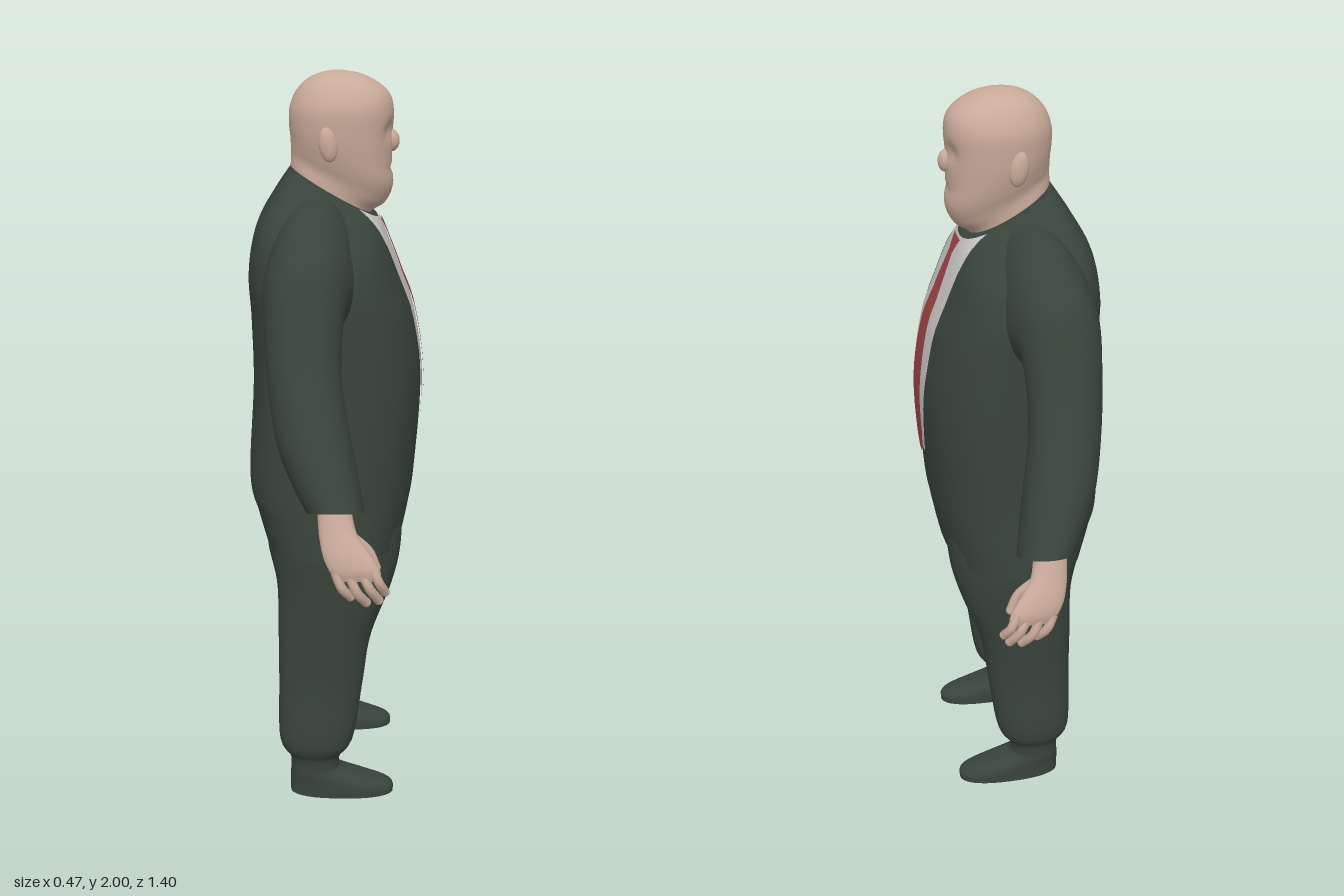
import * as THREE from 'three';

const mat = (name, color) => {
  const m = new THREE.MeshStandardMaterial({ color });
  m.name = name;
  return m;
};

// Smooth interpolation through a list of cross-sections, t in 0..1
function sectionAt(rows, t) {
  const n = rows.length - 1, f = Math.min(Math.max(t, 0), 1) * n;
  const i = Math.min(Math.floor(f), n - 1), u = f - i;
  const a = rows[Math.max(i - 1, 0)], b = rows[i], c = rows[i + 1], d = rows[Math.min(i + 2, n)];
  return b.map((_, k) => {
    const m0 = (c[k] - a[k]) / 2, m1 = (d[k] - b[k]) / 2, u2 = u * u, u3 = u2 * u;
    return b[k] * (2 * u3 - 3 * u2 + 1) + m0 * (u3 - 2 * u2 + u) + c[k] * (3 * u2 - 2 * u3) + m1 * (u3 - u2);
  });
}

const spow = (v, e) => Math.sign(v) * Math.abs(v) ** (2 / e);

// Body section: [yBack, yFront, xBack, xFront, zInner, zOuter]
function bodyPoint(r, ang, eFront, eBack) {
  const [yb, yf, xb, xf, zi, zo] = r;
  const c = Math.cos(ang), e = c >= 0 ? eFront : eBack;
  const k = spow(c, e);
  return new THREE.Vector3((xb + xf) / 2 + k * (xf - xb) / 2, (yb + yf) / 2 + k * (yf - yb) / 2,
    (zi + zo) / 2 + spow(Math.sin(ang), e) * (zo - zi) / 2);
}

// Limb section: [zOuter, yOuter, zInner, yInner, xBack, xFront]
function limbPoint(r, ang) {
  const [zo, yo, zi, yi, xb, xf] = r, c = Math.cos(ang), s = Math.sin(ang);
  return new THREE.Vector3((xb + xf) / 2 + c * (xf - xb) / 2, (yo + yi) / 2 + s * (yo - yi) / 2,
    (zo + zi) / 2 + s * (zo - zi) / 2);
}

// Closed loft with end caps; side = -1 mirrors it across z
function loft(rows, point, { steps = 36, seg = 40, side = 1, warp = null } = {}) {
  const pos = [], idx = [];
  const put = (p) => pos.push(p.x, p.y, p.z * side) / 3 - 1;
  const ring = (t) => Array.from({ length: seg }, (_, j) => {
    const p = point(sectionAt(rows, t), (j / seg) * Math.PI * 2);
    if (warp) warp(p);
    return p;
  });
  for (let i = 0; i <= steps; i++) ring(i / steps).forEach(put);
  for (let i = 0; i < steps; i++) for (let j = 0; j < seg; j++) {
    const a = i * seg + j, b = i * seg + (j + 1) % seg;
    idx.push(a, a + seg, b, b, a + seg, b + seg);
  }
  for (const t of [0, 1]) {
    const pts = ring(t), mid = new THREE.Vector3();
    pts.forEach((p) => mid.addScaledVector(p, 1 / seg));
    const c = put(mid), ids = pts.map(put);
    for (let j = 0; j < seg; j++) {
      const a = ids[j], b = ids[(j + 1) % seg];
      idx.push(...(t ? [c, b, a] : [c, a, b]));
    }
  }
  // Turn all faces outwards
  let vol = 0;
  const v = (i) => new THREE.Vector3().fromArray(pos, i * 3);
  for (let i = 0; i < idx.length; i += 3) vol += v(idx[i]).dot(v(idx[i + 1]).cross(v(idx[i + 2])));
  if (vol < 0) idx.reverse();
  return finish(pos, idx);
}

function finish(pos, idx) {
  const g = new THREE.BufferGeometry();
  g.setAttribute('position', new THREE.Float32BufferAttribute(pos, 3));
  g.setIndex(idx);
  g.computeVertexNormals();
  return g;
}

const w = (yb, yf, xb, xf, hz) => [yb, yf, xb, xf, -hz, hz];
const TORSO = [
  w(0.77, 0.77, -0.19, 0.185, 0.325), w(0.86, 0.86, -0.215, 0.203, 0.322), w(0.95, 0.95, -0.234, 0.216, 0.318),
  w(1.2, 1.2, -0.22, 0.23, 0.312), w(1.38, 1.38, -0.222, 0.206, 0.312), w(1.5, 1.48, -0.227, 0.17, 0.312),
  w(1.61, 1.55, -0.208, 0.143, 0.28), w(1.69, 1.595, -0.165, 0.125, 0.2), w(1.76, 1.63, -0.118, 0.11, 0.11),
];
const torsoPoint = (r, a) => bodyPoint(r, a, 2.5, 3.2);

// Thin cloth panel following the chest; rows are [y, zMin, zMax] from the bottom up
function chestPanel(rows, offset) {
  const pos = [], idx = [], cols = 14, sub = 8, n = (rows.length - 1) * sub;
  const surface = (t, z) => {
    const r = sectionAt(TORSO, t);
    const s = Math.min(Math.abs(z) / r[5], 1) ** 1.25;
    return torsoPoint(r, Math.sign(z) * Math.asin(s));
  };
  for (let i = 0; i <= n; i++) {
    const k = Math.min(Math.floor(i / sub), rows.length - 2), u = i / sub - k;
    const [y, z0, z1] = rows[k].map((a, m) => a + (rows[k + 1][m] - a) * u);
    for (let j = 0; j <= cols; j++) {
      const z = z0 + (z1 - z0) * j / cols;
      let lo = 0, hi = 1;
      for (let q = 0; q < 24; q++) {
        const m = (lo + hi) / 2;
        if (surface(m, z).y < y) lo = m; else hi = m;
      }
      const p = surface(lo, z);
      pos.push(p.x + offset, p.y + offset * 0.3, p.z);
      if (i < n && j < cols) {
        const a = i * (cols + 1) + j, b = a + cols + 1;
        idx.push(a, b, a + 1, a + 1, b, b + 1);
      }
    }
  }
  return finish(pos, idx);
}

export function createModel() {
  const suit = mat('dark green suit', 0x38443b), skin = mat('skin', 0xc9aa9a);
  const white = mat('white shirt', 0xc8c5c1), red = mat('red tie', 0xa04346);
  const model = new THREE.Group();
  model.name = 'suitedMan';
  const add = (name, geo, m, parent = model) => {
    const mesh = new THREE.Mesh(geo, m);
    mesh.name = name;
    parent.add(mesh);
    return mesh;
  };

  // Jacket, shirt front and tie
  add('jacket', loft(TORSO, torsoPoint, { steps: 64, seg: 80 }), suit);
  add('shirtFront', chestPanel([[1.04, -0.06, 0], [1.11, -0.075, 0.085], [1.3, -0.1, 0.104],
    [1.6, -0.106, 0.106], [1.76, -0.092, 0.092]], 0.004), white);
  add('tie', chestPanel([[1.02, -0.015, 0.015], [1.05, -0.05, 0.05], [1.1, -0.064, 0.064], [1.3, -0.055, 0.055],
    [1.5, -0.034, 0.034], [1.585, -0.02, 0.02], [1.625, -0.038, 0.038]], 0.008), red);

  // Head and neck, with shallow eye sockets pressed in
  const sockets = (p) => {
    if (p.x < 0.05) return;
    const d = ((p.y - 1.852) / 0.022) ** 2 + ((Math.abs(p.z) - 0.042) / 0.026) ** 2;
    p.x -= 0.013 * Math.exp(-d);
    p.x -= 0.006 * Math.exp(-(((p.y - 1.755) / 0.01) ** 2) - (p.z / 0.04) ** 2);
  };
  add('head', loft([
    w(1.7, 1.57, -0.12, 0.085, 0.092), w(1.76, 1.635, -0.118, 0.088, 0.09), w(1.79, 1.665, -0.117, 0.128, 0.092),
    w(1.81, 1.71, -0.117, 0.149, 0.104), w(1.835, 1.77, -0.118, 0.146, 0.114), w(1.865, 1.83, -0.121, 0.147, 0.119),
    w(1.905, 1.9, -0.12, 0.149, 0.12), w(1.945, 1.942, -0.105, 0.138, 0.106), w(1.975, 1.973, -0.078, 0.103, 0.083),
    w(1.993, 1.992, -0.042, 0.06, 0.048), w(2, 2, -0.005, 0.015, 0.008),
  ], (r, a) => bodyPoint(r, a, 2.2, 2.1), { steps: 60, seg: 64, warp: sockets }), skin);
  const ball = new THREE.SphereGeometry(1, 20, 14);
  const blob = (name, p, s, tilt = 0) => {
    const b = add(name, ball, skin);
    b.position.set(...p);
    b.scale.set(...s);
    b.rotation.z = tilt;
  };
  blob('nose', [0.142, 1.825, 0], [0.023, 0.03, 0.02], 0.15);

  for (const side of [1, -1]) {
    const tag = side > 0 ? 'left' : 'right';
    blob(tag + 'Ear', [-0.018, 1.825, side * 0.115], [0.024, 0.044, 0.015], 0.15);

    // Sleeve
    add(tag + 'Sleeve', loft([
      [0.09, 1.7, 0.1, 1.42, -0.13, 0.05], [0.21, 1.683, 0.2, 1.36, -0.165, 0.055],
      [0.32, 1.635, 0.28, 1.35, -0.175, 0.048], [0.405, 1.58, 0.325, 1.36, -0.17, 0.03],
      [0.46, 1.46, 0.355, 1.29, -0.165, 0.02], [0.515, 1.34, 0.388, 1.2, -0.155, 0.025],
      [0.59, 1.2, 0.43, 1.1, -0.13, 0.05], [0.64, 1.105, 0.47, 1.025, -0.09, 0.068],
      [0.668, 1.05, 0.5, 0.985, -0.06, 0.078],
    ], limbPoint, { side }), suit);

    // Hand with fingers and thumb
    const hand = new THREE.Group();
    hand.name = tag + 'Hand';
    model.add(hand);
    add('palm', loft([
      [0.65, 1.06, 0.585, 1.035, -0.035, 0.045], [0.672, 1.0, 0.63, 0.985, -0.03, 0.06],
      [0.69, 0.95, 0.655, 0.94, -0.02, 0.095], [0.697, 0.915, 0.668, 0.91, -0.005, 0.115],
      [0.693, 0.89, 0.675, 0.89, 0.01, 0.115],
    ], limbPoint, { side, steps: 16, seg: 24 }), skin, hand);
    const digits = [
      [[0.008, 0.91, 0.682], [0.025, 0.87, 0.686], [0.045, 0.842, 0.67]],
      [[0.038, 0.91, 0.682], [0.06, 0.86, 0.688], [0.082, 0.826, 0.668]],
      [[0.07, 0.91, 0.682], [0.09, 0.87, 0.688], [0.112, 0.832, 0.668]],
      [[0.095, 0.92, 0.682], [0.112, 0.885, 0.688], [0.126, 0.855, 0.67]],
      [[0.05, 0.985, 0.648], [0.088, 0.945, 0.64], [0.105, 0.905, 0.642]],
    ];
    digits.forEach((pts, i) => {
      const path = new THREE.CatmullRomCurve3(pts.map(([x, y, z]) => new THREE.Vector3(x, y, side * z)));
      add(i < 4 ? 'finger' : 'thumb', new THREE.TubeGeometry(path, 8, 0.0115, 10), skin, hand);
      const tip = add('fingertip', ball, skin, hand);
      tip.position.copy(path.getPoint(1));
      tip.scale.setScalar(0.0115);
    });

    // Trouser leg running into the shoe
    const l = (y, ...r) => [y, y, ...r];
    add(tag + 'Leg', loft([
      l(0.88, -0.19, 0.18, -0.005, 0.285), l(0.76, -0.183, 0.18, 0.002, 0.288), l(0.65, -0.16, 0.155, 0.045, 0.28),
      l(0.5, -0.157, 0.1, 0.092, 0.268), l(0.35, -0.157, 0.078, 0.105, 0.26), l(0.18, -0.157, 0.052, 0.112, 0.266),
      l(0.12, -0.128, 0.015, 0.132, 0.243),
      l(0.08, -0.125, 0.012, 0.135, 0.24),
    ], (r, a) => bodyPoint(r, a, 2.3, 2.3), { side }), suit);
    add(tag + 'Shoe', loft([
      l(0.09, -0.123, 0.008, 0.137, 0.238), l(0.07, -0.126, 0.03, 0.134, 0.24), l(0.045, -0.127, 0.11, 0.133, 0.241),
      l(0.025, -0.127, 0.162, 0.132, 0.242), l(0, -0.127, 0.167, 0.132, 0.242),
    ], (r, a) => bodyPoint(r, a, 2.4, 2.4), { side, steps: 20 }), suit);
  }
  return model;
}
